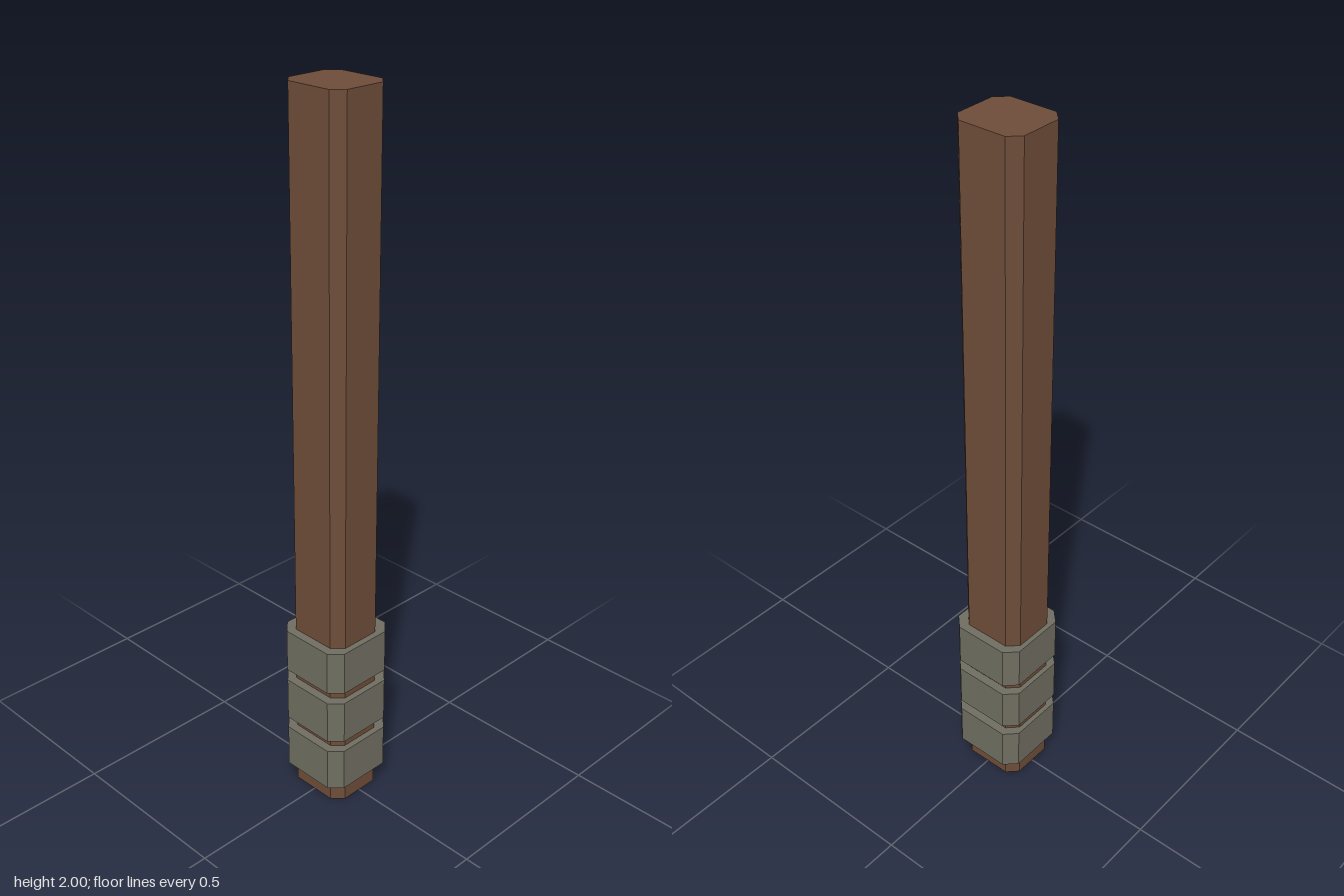
import * as THREE from 'three';

const wood = new THREE.MeshStandardMaterial({ color: 0x6e4d39 });
wood.name = 'brown wood';
const metal = new THREE.MeshStandardMaterial({ color: 0x706e61 });
metal.name = 'grey metal';

// Upright prism with a rectangular, corner-cut cross-section
function chamferedPrism(name, halfX, halfZ, cut, bottom, height, material) {
  const shape = new THREE.Shape([
    [halfX, -halfZ + cut], [halfX, halfZ - cut],
    [halfX - cut, halfZ], [-halfX + cut, halfZ],
    [-halfX, halfZ - cut], [-halfX, -halfZ + cut],
    [-halfX + cut, -halfZ], [halfX - cut, -halfZ],
  ].map(([x, y]) => new THREE.Vector2(x, y)));
  const geometry = new THREE.ExtrudeGeometry(shape, { depth: height, bevelEnabled: false });
  geometry.rotateX(-Math.PI / 2);
  const mesh = new THREE.Mesh(geometry, material);
  mesh.name = name;
  mesh.position.y = bottom;
  return mesh;
}

export function createModel() {
  const model = new THREE.Group();
  model.name = 'bandedPost';

  // Shaft, set slightly towards the back of the bands
  const shaft = chamferedPrism('shaft', 0.087, 0.096, 0.029, 0, 2, wood);
  shaft.position.z = -0.003;
  model.add(shaft);

  // Three evenly spaced bands around the foot
  for (let i = 0; i < 3; i++) {
    const band = chamferedPrism(`band${i + 1}`, 0.112, 0.112, 0.033, 0.061 + i * 0.162, 0.128, metal);
    band.position.z = -0.001;
    model.add(band);
  }
  return model;
}
